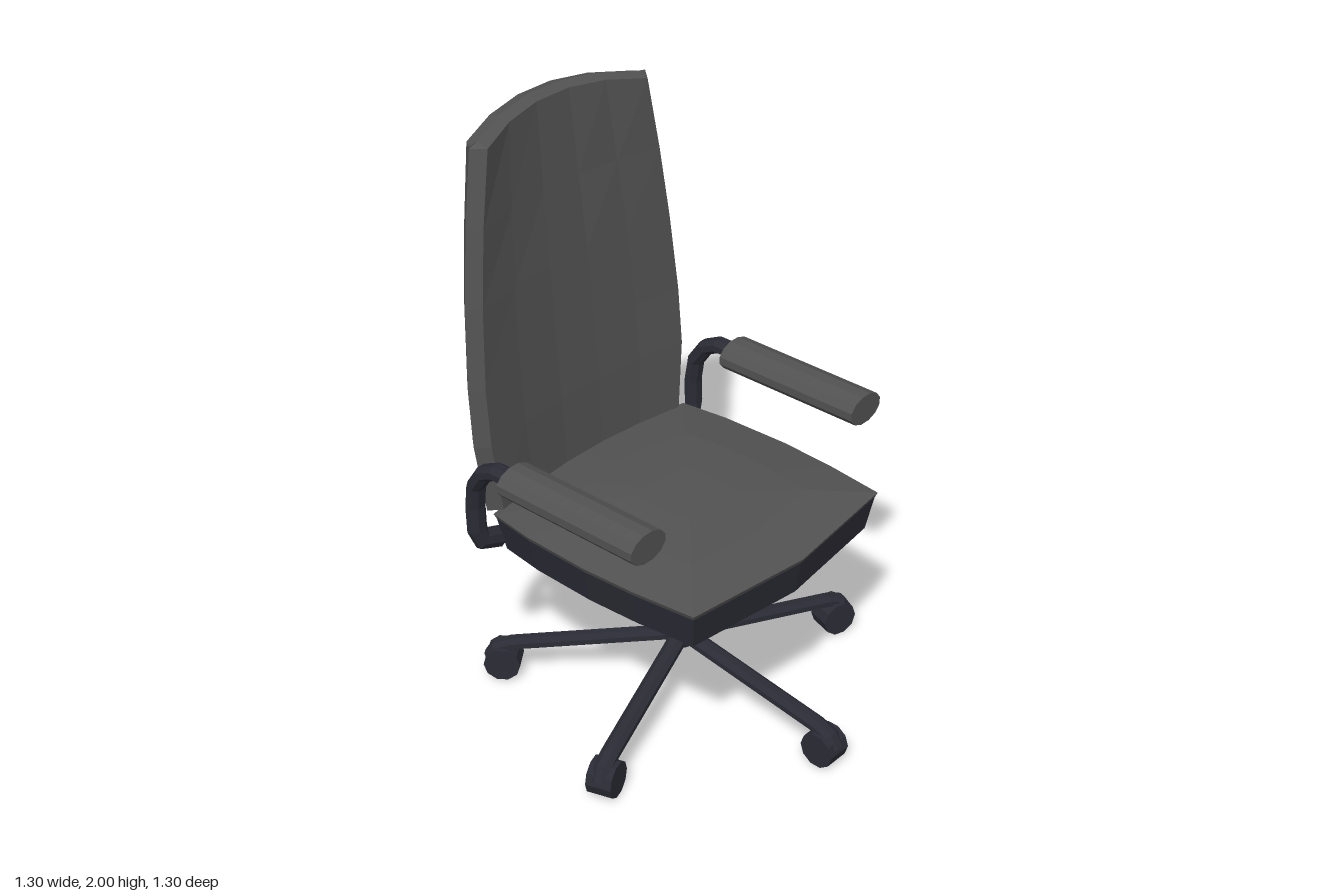
import * as THREE from 'three';

const upholstery = new THREE.MeshStandardMaterial({ color: 0x525253 });
upholstery.name = 'charcoal upholstery';
const frame = new THREE.MeshStandardMaterial({ color: 0x2b2b35 });
frame.name = 'dark frame';

const V = (x, y, z) => new THREE.Vector3(x, y, z);

// Flat-faceted skin over rings that run counter-clockwise seen from the last ring
function loft(rings, caps = true) {
  const pos = [];
  const tri = (...pts) => pts.forEach((p) => pos.push(p.x, p.y, p.z));
  const n = rings[0].length;
  for (let i = 0; i < rings.length - 1; i++) {
    for (let j = 0; j < n; j++) {
      const k = (j + 1) % n;
      const [a, b, c, d] = [rings[i][j], rings[i][k], rings[i + 1][k], rings[i + 1][j]];
      tri(a, b, c);
      tri(a, c, d);
    }
  }
  if (caps) {
    [rings[0], rings[rings.length - 1]].forEach((ring, end) => {
      const mid = ring.reduce((s, p) => s.add(p), V(0, 0, 0)).divideScalar(n);
      for (let j = 0; j < n; j++) {
        const k = (j + 1) % n;
        if (end) tri(mid, ring[j], ring[k]);
        else tri(mid, ring[k], ring[j]);
      }
    });
  }
  const geo = new THREE.BufferGeometry();
  geo.setAttribute('position', new THREE.Float32BufferAttribute(pos, 3));
  geo.computeVertexNormals();
  return geo;
}

// Oval bar along a path: rx is the half size across x, rn the other half size
function bar(path, rx, rn, sides = 8) {
  const rings = path.map((p, i) => {
    const t = path[Math.min(i + 1, path.length - 1)].clone().sub(path[Math.max(i - 1, 0)]).normalize();
    const nrm = t.clone().cross(V(1, 0, 0)).normalize();
    const side = nrm.clone().cross(t);
    return Array.from({ length: sides }, (_, j) => {
      const a = ((j + 0.5) / sides) * Math.PI * 2;
      return p.clone().addScaledVector(side, rx * Math.cos(a)).addScaledVector(nrm, rn * Math.sin(a));
    });
  });
  return loft(rings);
}

function flat(geometry) {
  const geo = geometry.toNonIndexed();
  geo.computeVertexNormals();
  return geo;
}

function add(parent, name, geometry, material) {
  const mesh = new THREE.Mesh(geometry, material);
  mesh.name = name;
  parent.add(mesh);
  return mesh;
}

// Seat: tapered dark pan and domed cushion share one outline
function addSeat(group) {
  const half = [[0, 0.475], [0.45, 0.42], [0.475, 0.2], [0.485, 0], [0.477, -0.25],
    [0.455, -0.42], [0.25, -0.47], [0, -0.49]];
  const outline = [...half, ...half.slice(1, -1).reverse().map(([x, z]) => [-x, z])];
  const ring = (y, s) => outline.map(([x, z]) => V(x * s, y, z * s));
  add(group, 'seatPan', loft([ring(0.6, 0.94), ring(0.718, 0.985)]), frame);
  add(group, 'seatCushion', loft([ring(0.718, 0.985), ring(0.735, 1), ring(0.762, 0.62), ring(0.773, 0.25)]), upholstery);
}

// Backrest: crescent sections that narrow and lean back towards the top
function addBackrest(group) {
  // y, half width, front centre z, front edge z, rear centre z
  const levels = [
    [0.74, 0.455, -0.455, -0.41, -0.56],
    [0.98, 0.483, -0.465, -0.42, -0.58],
    [1.18, 0.482, -0.48, -0.435, -0.59],
    [1.45, 0.46, -0.5, -0.452, -0.605],
    [1.7, 0.428, -0.525, -0.465, -0.617],
    [1.95, 0.385, -0.55, -0.475, -0.63],
  ];
  const us = [-1, -0.6, -0.2, 0.2, 0.6, 1];
  const n = us.length;
  const rings = levels.map(([y, w, zf, ze, zr], i) => {
    const arch = i === levels.length - 1 ? 0.04 : 0;
    const sideZ = (ze + zr + 0.07) / 2;
    const front = us.map((u) => V(u * (w - 0.035), y + arch * (1 - u * u), zf + (ze - zf) * u * u));
    const rear = us.map((u) => V(u * w * 0.92, y + arch * (1 - u * u), zr + 0.07 * u * u)).reverse();
    return [...front, V(w, y, sideZ), ...rear, V(-w, y, sideZ)];
  });
  // Closing ridge halfway between front and rear
  const ridge = (ring, dy) => ring.map((p, j) => {
    if (j === n || j === 2 * n + 1) return p.clone().add(V(0, dy * 0.5, 0));
    return p.clone().add(ring[2 * n - j]).multiplyScalar(0.5).add(V(0, dy, 0));
  });
  rings.unshift(ridge(rings[0], -0.01));
  rings.push(ridge(rings[rings.length - 1], 0.012));
  add(group, 'backrest', loft(rings, false), upholstery);

  // Curved plate and broad stem that hold the backrest
  const plate = [[-0.21, -0.52], [0.21, -0.52], [0.21, -0.615], [0.08, -0.65], [-0.08, -0.65], [-0.21, -0.615]];
  add(group, 'backPlate', loft([0.86, 1.0].map((y) => plate.map(([x, z]) => V(x, y, z)))), frame);
  const stem = [[0.65, -0.42], [0.65, -0.54], [0.665, -0.585], [0.71, -0.612], [0.79, -0.608], [0.9, -0.6]];
  add(group, 'backStem', bar(stem.map(([y, z]) => V(0, y, z)), 0.065, 0.026), frame);
}

// Armrests: oval pads on bent supports
function addArm(group, s) {
  const arm = new THREE.Group();
  arm.name = s > 0 ? 'leftArm' : 'rightArm';
  add(arm, 'armPad', bar([V(s * 0.52, 0.972, -0.25), V(s * 0.52, 0.972, 0.305)], 0.077, 0.052, 12), upholstery);
  const path = [[0.525, 0.972, -0.2], [0.525, 0.972, -0.32], [0.524, 0.945, -0.375], [0.522, 0.88, -0.42],
    [0.52, 0.8, -0.432], [0.52, 0.71, -0.43], [0.505, 0.665, -0.425], [0.43, 0.64, -0.42]];
  add(arm, 'armSupport', bar(path.map(([x, y, z]) => V(s * x, y, z)), 0.036, 0.028), frame);
  group.add(arm);
}

// Base: column with five legs and wheels
function addBase(group) {
  const base = new THREE.Group();
  base.name = 'base';
  base.position.z = -0.022;
  add(base, 'column', flat(new THREE.CylinderGeometry(0.063, 0.063, 0.42, 10)), frame).position.y = 0.41;
  add(base, 'hub', flat(new THREE.CylinderGeometry(0.063, 0.04, 0.05, 10)), frame).position.y = 0.2;
  const legPath = [[0.215, 0], [0.128, 0.575], [0.108, 0.63], [0.07, 0.652]].map(([y, z]) => V(0, y, z));
  const legGeo = bar(legPath, 0.032, 0.024);
  const wheelGeo = flat(new THREE.CylinderGeometry(0.062, 0.062, 0.088, 10).rotateZ(Math.PI / 2));
  for (let i = 0; i < 5; i++) {
    const leg = new THREE.Group();
    leg.name = 'leg';
    leg.rotation.y = (i * Math.PI * 2) / 5;
    add(leg, 'legBar', legGeo, frame);
    add(leg, 'wheel', wheelGeo, frame).position.set(0, 0.061, 0.607);
    base.add(leg);
  }
  group.add(base);
}

export function createModel() {
  const group = new THREE.Group();
  group.name = 'officeChair';
  addSeat(group);
  addBackrest(group);
  addArm(group, 1);
  addArm(group, -1);
  addBase(group);
  return group;
}
